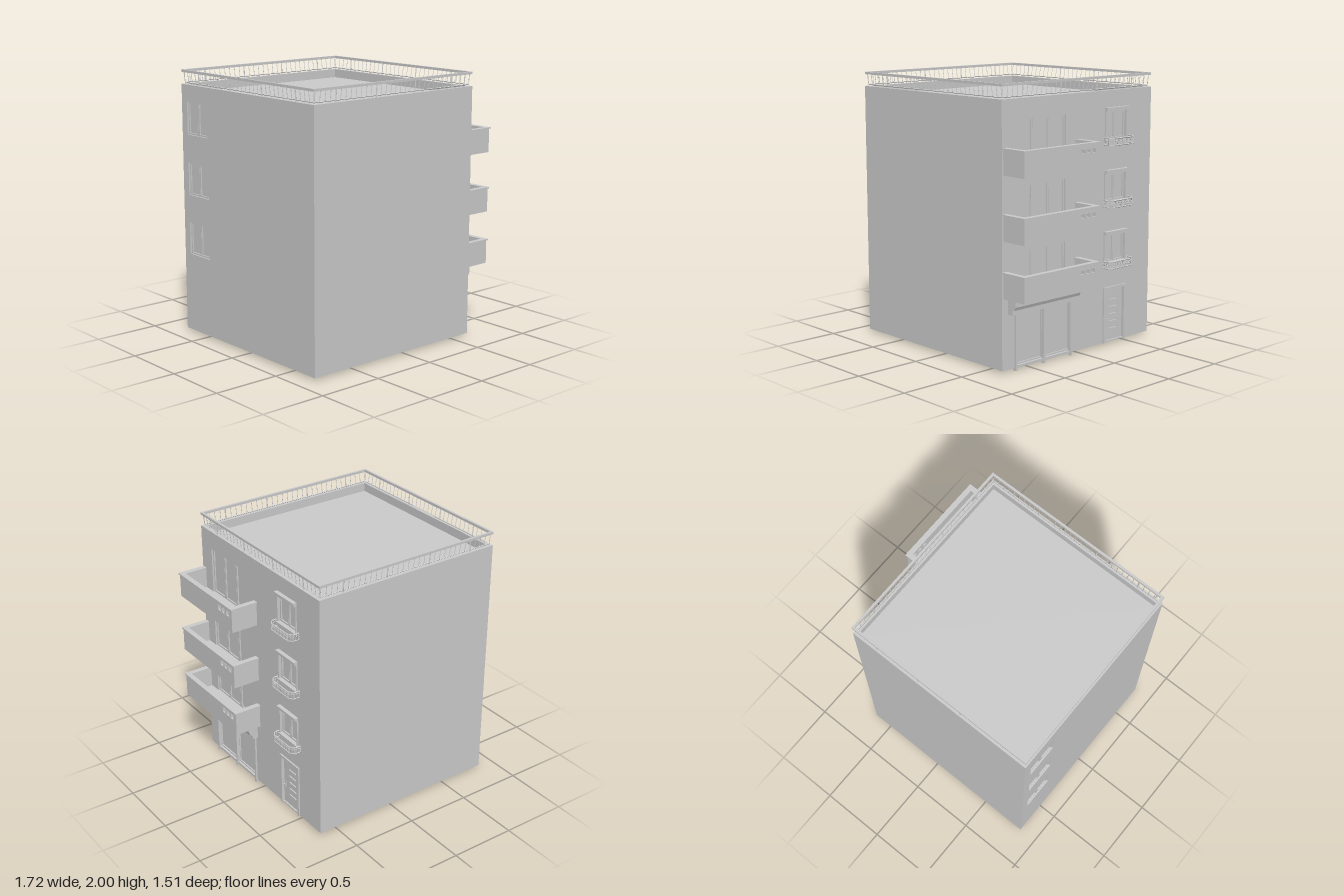
import * as THREE from 'three';

const grey = new THREE.MeshStandardMaterial({ color: 0xcccccc, flatShading: true });
const X0 = -0.86, X1 = 0.645, Z = 0.755, Y0 = 0.02, Y1 = 1.895, T = 0.03;

function add(parent, name, geo) {
  const m = new THREE.Mesh(geo, grey);
  m.name = name;
  parent.add(m);
  return m;
}

function group(parent, name) {
  const g = new THREE.Group();
  g.name = name;
  parent.add(g);
  return g;
}

// Box given by its limits on each axis
function box(parent, name, x0, x1, y0, y1, z0, z1) {
  const geo = new THREE.BoxGeometry(x1 - x0, y1 - y0, z1 - z0);
  geo.translate((x0 + x1) / 2, (y0 + y1) / 2, (z0 + z1) / 2);
  return add(parent, name, geo);
}

// Thin bar between two points
function bar(parent, name, a, b, r = 0.003, sides = 4) {
  const p = new THREE.Vector3(...a), d = new THREE.Vector3(...b).sub(p);
  const geo = new THREE.CylinderGeometry(r, r, d.length(), sides);
  const m = add(parent, name, geo);
  m.position.copy(p).addScaledVector(d, 0.5);
  m.quaternion.setFromUnitVectors(new THREE.Vector3(0, 1, 0), d.normalize());
  return m;
}

// Slab in the z-y plane with rectangular openings [z0, z1, y0, y1]
function panel(parent, name, xBack, xFront, z0, z1, y0, y1, holes) {
  const rect = (C, a, b, c, d) => new C([[a, c], [b, c], [b, d], [a, d]].map(p => new THREE.Vector2(...p)));
  const shape = rect(THREE.Shape, z0, z1, y0, y1);
  shape.holes = holes.map(h => rect(THREE.Path, ...h));
  const geo = new THREE.ExtrudeGeometry(shape, { depth: xFront - xBack, bevelEnabled: false });
  geo.rotateY(-Math.PI / 2).translate(xFront, 0, 0);
  return add(parent, name, geo);
}

// Recessed glazing with sash frames; s is the outward direction along x
function glazing(parent, name, s, xWall, [z0, z1, y0, y1], panes, depth = 0.022) {
  const g = group(parent, name), x = xWall - s * depth;
  const xs = (a, b) => [Math.min(x + s * a, x + s * b), Math.max(x + s * a, x + s * b)];
  box(g, 'glass', ...xs(-0.012, 0), y0 - 0.004, y1 + 0.004, z0 - 0.004, z1 + 0.004);
  const w = (z1 - z0) / panes, f = 0.012;
  for (let i = 0; i < panes; i++) {
    const a = z0 + i * w, b = a + w;
    panel(g, 'sash', ...xs(0, 0.01), a + 0.001, b - 0.001, y0, y1, [[a + f, b - f, y0 + f, y1 - f]]);
  }
  return g;
}

const floors = [0, 0.455, 0.91];
const balconyLevels = [[0.53, 0.717, 0.85], [0.93, 1.118, 1.3], [1.383, 1.57, 1.755]];
const smallWindows = floors.map(d => [-0.478, -0.265, 0.63 + d, 0.83 + d]);
const sideWindows = floors.map(d => [-0.69, -0.44, 0.615 + d, 0.86 + d]);
const balconyDoors = balconyLevels.map(([b, , t]) => [0.145, 0.62, b + 0.025, t]);
const shop = [0.085, 0.635, 0.035, 0.415], entrance = [-0.475, -0.275, 0.03, 0.42];

function buildBody(root) {
  const g = group(root, 'body');
  panel(g, 'streetWall', X1 - T, X1, -Z, Z, Y0, Y1, [...smallWindows, ...balconyDoors, shop, entrance]);
  panel(g, 'rearWall', X0, X0 + T, -Z, Z, Y0, Y1, sideWindows);
  for (const s of [-1, 1]) {
    const a = s * Z, b = s * (Z - T);
    box(g, 'sideWall', X0 + T, X1 - T, Y0, Y1, Math.min(a, b), Math.max(a, b));
  }
  box(g, 'roof', X0 + T, X1 - T, 1.8, 1.83, -Z + T, Z - T);
  box(g, 'floor', X0 + T, X1 - T, 0.028, 0.045, -Z + T, Z - T);
  sideWindows.forEach(w => glazing(g, 'sideWindow', -1, X0, w, 2));
}

function buildRoofRailing(root) {
  const g = group(root, 'roofRailing');
  // Each side: the rail leans slightly outward from its foot
  const foot = 0.02, top = 0.009, yTop = 1.99;
  const at = (u, inset, axis, s, y) => axis === 'x'
    ? [u, y, s * (Z - inset)]
    : [s > 0 ? X1 - inset : X0 + inset, y, u];
  for (const axis of ['x', 'z']) for (const s of [-1, 1]) {
    const lo = axis === 'x' ? X0 : -Z, hi = axis === 'x' ? X1 : Z;
    const n = 32, step = (hi - lo - 2 * foot) / n;
    for (let i = 0; i <= n; i++) {
      const u = lo + foot + i * step, post = i % 8 === 4;
      bar(g, post ? 'post' : 'baluster', at(u, foot, axis, s, post ? 1.85 : 1.905), at(u, top, axis, s, yTop), post ? 0.0055 : 0.0028);
    }
    bar(g, 'bottomRail', at(lo + foot, foot, axis, s, 1.907), at(hi - foot, foot, axis, s, 1.907), 0.004);
    const p = at(lo + 0.001, top, axis, s, yTop), q = at(hi - 0.001, top, axis, s, yTop), r = 0.009;
    if (axis === 'x') box(g, 'handrail', p[0], q[0], 1.982, 2, p[2] - r, p[2] + r);
    else box(g, 'handrail', p[0] - r, p[0] + r, 1.982, 2, p[2], q[2]);
  }
}

function buildBalcony(root, [b, t], door) {
  const g = group(root, 'balcony'), xo = 0.852, z0 = 0.02, z1 = 0.742, w = 0.028;
  const vents = [0.075, 0.13, 0.183].map(z => [z - 0.016, z + 0.016, t - 0.07, t - 0.04]);
  box(g, 'slab', X1, xo - w, b, b + 0.025, z0 + w, z1 - w);
  panel(g, 'frontParapet', xo - w, xo, z0, z1, b, t - 0.01, vents);
  for (const z of [z0, z1 - w]) box(g, 'endParapet', X1, xo - w, b, t - 0.01, z, z + w);
  // Overhanging coping
  box(g, 'coping', xo - w - 0.004, 0.86, t - 0.01, t, z0 - 0.009, z1 + 0.009);
  for (const z of [z0 - 0.009, z1 - w - 0.004]) box(g, 'coping', X1, xo - w - 0.004, t - 0.01, t, z, z + w + 0.013);
  // Vent surrounds
  for (const [a, c, d, e] of vents)
    panel(g, 'ventFrame', xo, xo + 0.004, a - 0.004, c + 0.004, d - 0.004, e + 0.004, [[a, c, d, e]]);
  glazing(g, 'balconyDoor', 1, X1, door, 3);
}

function buildSmallWindow(root, w) {
  const g = group(root, 'smallWindow'), [z0, z1, y0, y1] = w, f = 0.01;
  glazing(g, 'casement', 1, X1, w, 2);
  panel(g, 'surround', X1, X1 + 0.01, z0 - f, z1 + f, y0 - f, y1 + f, [w]);
  // Moulded lintel and sill
  box(g, 'lintel', X1, X1 + 0.02, y1 + 0.002, y1 + 0.014, z0 - f, z1 + f);
  box(g, 'lintelTop', X1, X1 + 0.03, y1 + 0.014, y1 + 0.032, z0 - f, z1 + f);
  box(g, 'sill', X1, X1 + 0.02, y0 - 0.02, y0, z0 - f, z1 + f);
  // Railing with chamfered corners
  const r = group(g, 'windowRailing');
  const path = [[X1, -0.512], [0.692, -0.512], [0.717, -0.482], [0.717, -0.282], [0.692, -0.252], [X1, -0.252]];
  const yb = y0 - 0.038, yt = y0 + 0.012;
  for (let i = 0; i < path.length - 1; i++) {
    const [ax, az] = path[i], [bx, bz] = path[i + 1];
    for (const [y, rad] of [[yb, 0.004], [yt - 0.018, 0.002], [yt, 0.005]]) bar(r, 'rail', [ax, y, az], [bx, y, bz], rad);
    const n = Math.max(2, Math.round(Math.hypot(bx - ax, bz - az) / 0.018));
    for (let k = 0; k < n; k++) {
      const x = ax + (bx - ax) * k / n, z = az + (bz - az) * k / n;
      bar(r, 'baluster', [x, yb, z], [x, yt, z], k ? 0.002 : 0.004);
    }
  }
}

function buildShopfront(root) {
  const g = group(root, 'shopfront');
  glazing(g, 'shopWindow', 1, X1, shop, 2);
  for (const z of [0.09, 0.36, 0.632]) box(g, 'post', X1 - 0.012, X1 + 0.014, 0, 0.415, z - 0.008, z + 0.008);
  box(g, 'threshold', X1 - 0.02, X1 + 0.006, 0.018, 0.036, 0.09, 0.632);
  // Stepped shutter housing beneath the first balcony
  const profile = [[0, 0.412], [0.045, 0.412], [0.045, 0.442], [0.05, 0.442], [0.05, 0.452], [0.066, 0.452],
    [0.075, 0.475], [0.075, 0.53], [0, 0.53]];
  const geo = new THREE.ExtrudeGeometry(new THREE.Shape(profile.map(p => new THREE.Vector2(...p))), { depth: 0.64, bevelEnabled: false });
  add(g, 'shutterHousing', geo.translate(X1, 0, 0.06));
}

function buildEntrance(root) {
  const g = group(root, 'entrance'), [z0, z1, y0, y1] = entrance;
  const slots = [0, 1, 2, 3, 4].map(i => [-0.43, -0.34, 0.115 + i * 0.055, 0.127 + i * 0.055]);
  box(g, 'doorBacking', X1 - 0.04, X1 - 0.022, y0 - 0.004, y1 + 0.004, z0 - 0.004, z1 + 0.004);
  panel(g, 'doorLeaf', X1 - 0.022, X1 - 0.012, z0, z1, y0, y1, [slots[0], ...slots.slice(1)]);
  // Door surround
  for (const z of [z0 - 0.02, z1]) box(g, 'doorJamb', X1 - 0.01, X1 + 0.012, Y0, 0.44, z, z + 0.02);
  box(g, 'doorHead', X1 - 0.01, X1 + 0.012, y1, 0.44, z0, z1);
  // Handle
  box(g, 'handlePlate', X1 - 0.012, X1 - 0.008, 0.16, 0.22, -0.302, -0.288);
  bar(g, 'handleStem', [X1 - 0.01, 0.195, -0.295], [X1 + 0.008, 0.195, -0.295], 0.003, 8);
  bar(g, 'handleLever', [X1 + 0.006, 0.195, -0.293], [X1 + 0.006, 0.195, -0.318], 0.003, 8);
}

export function createModel() {
  const root = new THREE.Group();
  root.name = 'apartmentBuilding';
  buildBody(root);
  buildRoofRailing(root);
  balconyLevels.forEach((level, i) => buildBalcony(root, level, balconyDoors[i]));
  smallWindows.forEach(w => buildSmallWindow(root, w));
  buildShopfront(root);
  buildEntrance(root);
  return root;
}
